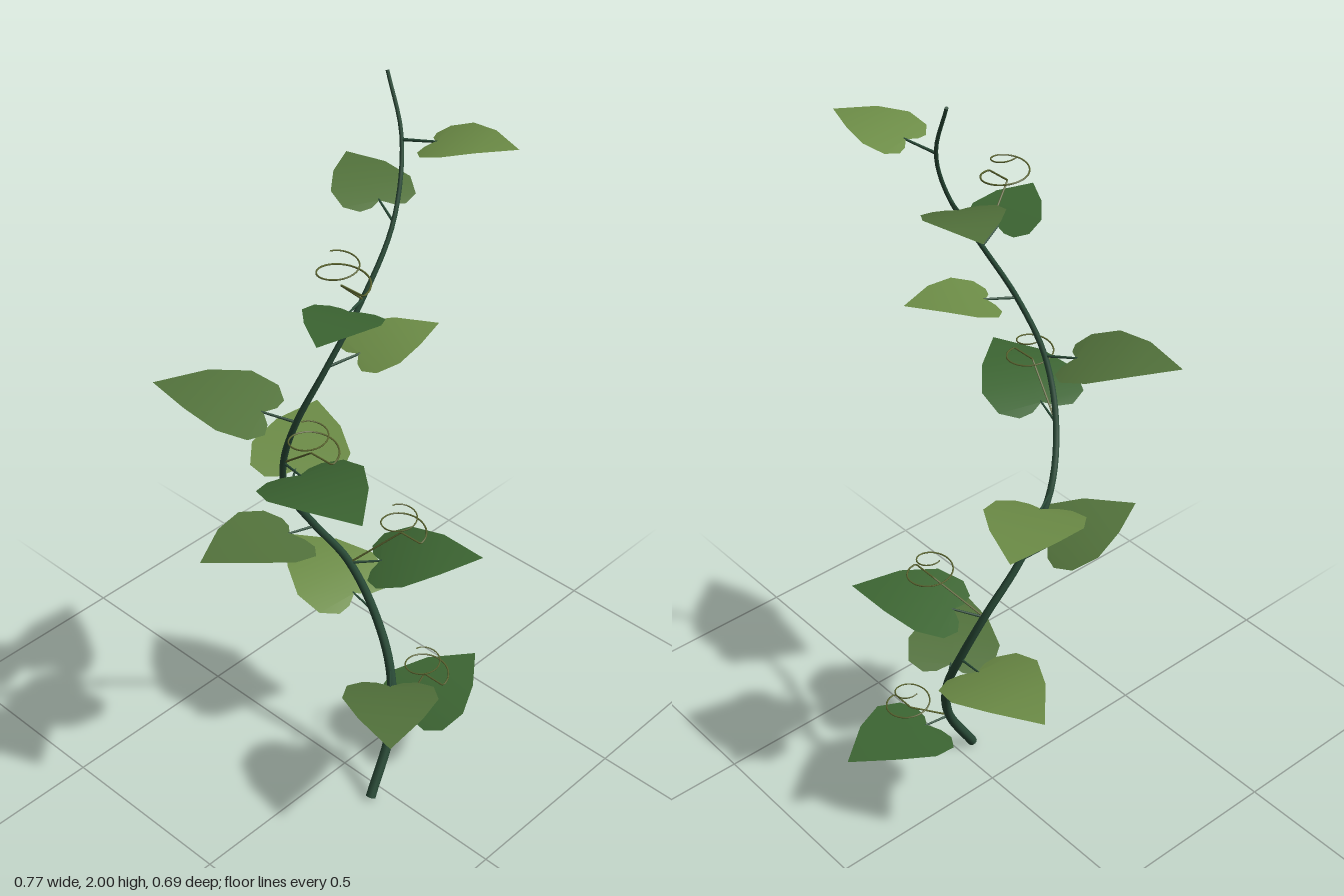
import * as THREE from 'three';

const mat = (color) => new THREE.MeshStandardMaterial({ color, side: THREE.DoubleSide });
const V = (x, y, z) => new THREE.Vector3(x, y, z);

const stemMat = mat(0x2a4c38);
const tendrilMat = mat(0x5c6630);
const leafMats = [mat(0x3c6532), mat(0x53733c), mat(0x6d8d47)];

// Spiralling centre line of the stem
const stemCurve = new THREE.CatmullRomCurve3([
  V(-0.047, 0.005, 0.14), V(0.05, 0.18, 0.12), V(0.092, 0.34, 0.074), V(0.098, 0.49, 0.008),
  V(0.06, 0.645, -0.046), V(-0.03, 0.795, -0.075), V(-0.125, 0.95, -0.07), V(-0.188, 1.1, -0.017),
  V(-0.205, 1.25, 0.045), V(-0.165, 1.4, 0.1), V(-0.083, 1.56, 0.134), V(0.01, 1.715, 0.136),
  V(0.082, 1.87, 0.09), V(0.1, 2.0, 0.03),
]);

// Tube whose radius shrinks evenly from r0 to r1
function taperedTube(curve, segments, r0, r1, sides) {
  const geo = new THREE.TubeGeometry(curve, segments, 1, sides);
  const pos = geo.attributes.position;
  const p = V(0, 0, 0);
  for (let i = 0; i < pos.count; i++) {
    const t = Math.floor(i / (sides + 1)) / segments;
    const c = curve.getPointAt(t);
    p.fromBufferAttribute(pos, i).sub(c).multiplyScalar(r0 + (r1 - r0) * t).add(c);
    pos.setXYZ(i, p.x, p.y, p.z);
  }
  return geo;
}

// Point on the stem at a given height
function stemAt(y) {
  let lo = 0, hi = 1;
  for (let i = 0; i < 30; i++) {
    const mid = (lo + hi) / 2;
    if (stemCurve.getPoint(mid).y < y) lo = mid; else hi = mid;
  }
  return stemCurve.getPoint(lo);
}

// Half outline of the heart-shaped blade: [along, across] for length 1
const outline = [[0, 0], [-0.08, 0.13], [-0.1, 0.27], [0, 0.43], [0.26, 0.472], [0.6, 0.31], [1, 0]];
const PETIOLE = 0.078;
const STALK_RISE = 0.013;

// Blade arches up from drooping lobes and levels off towards its tip
function bladeGeometry(length) {
  const verts = [], index = [];
  const put = (u, w) => verts.push(
    PETIOLE + u * length, STALK_RISE + 0.135 * length * (1 - (1 - u / 0.75) ** 2), w * length);
  for (const [u, w] of outline) {
    put(u, -w);
    put(Math.max(0, u), 0);
    put(u, w);
  }
  for (let i = 0; i < outline.length - 1; i++) {
    for (const s of [0, 1]) {
      const a = i * 3 + s, b = a + 1, c = a + 3, d = a + 4;
      index.push(a, b, c, b, d, c);
    }
  }
  const geo = new THREE.BufferGeometry();
  geo.setAttribute('position', new THREE.Float32BufferAttribute(verts, 3));
  geo.setIndex(index);
  geo.computeVertexNormals();
  return geo;
}

// Leaf on its stalk, pointing along local +x
function makeLeaf(reach, material) {
  const leaf = new THREE.Group();
  leaf.name = 'leaf';
  const path = new THREE.LineCurve3(V(0, 0, 0), V(PETIOLE + 0.005, STALK_RISE, 0));
  const stalk = new THREE.Mesh(taperedTube(path, 4, 0.0036, 0.0026, 6), stemMat);
  stalk.name = 'leafStalk';
  const blade = new THREE.Mesh(bladeGeometry(reach - PETIOLE), material);
  blade.name = 'leafBlade';
  leaf.add(stalk, blade);
  return leaf;
}

// Tendril: a straight arm, a short jog, then a narrowing coil
function makeTendril(angle) {
  const centre = V(Math.cos(angle) * 0.13, 0.108, Math.sin(angle) * 0.13);
  const path = new THREE.CurvePath();
  const coil = [];
  for (let i = 0; i <= 28; i++) {
    const t = i / 28, a = t * Math.PI * 3, r = 0.066 - 0.036 * t;
    coil.push(V(Math.sin(a) * r, t * 0.07, Math.cos(a) * r).add(centre));
  }
  path.add(new THREE.LineCurve3(V(0, 0, 0), centre));
  path.add(new THREE.LineCurve3(centre, coil[0]));
  path.add(new THREE.CatmullRomCurve3(coil));
  const mesh = new THREE.Mesh(taperedTube(path, 90, 0.0026, 0.0018, 5), tendrilMat);
  mesh.name = 'tendril';
  return mesh;
}

export function createModel() {
  const vine = new THREE.Group();
  vine.name = 'vine';

  // Stem with end caps
  const stem = new THREE.Mesh(taperedTube(stemCurve, 80, 0.0135, 0.004, 8), stemMat);
  stem.name = 'stem';
  vine.add(stem);
  for (const [t, r, dir] of [[0, 0.0135, -1], [1, 0.004, 1]]) {
    const cap = new THREE.Mesh(new THREE.CircleGeometry(r, 8), stemMat);
    cap.name = 'stemEnd';
    cap.position.copy(stemCurve.getPoint(t));
    cap.quaternion.setFromUnitVectors(V(0, 0, 1), stemCurve.getTangent(t).multiplyScalar(dir));
    vine.add(cap);
  }

  // Leaves climb the stem by the golden angle, with a tendril at every third
  const reaches = [0.34, 0.338, 0.356, 0.338, 0.338, 0.34, 0.348, 0.342, 0.28, 0.268, 0.277, 0.268];
  reaches.forEach((reach, i) => {
    const node = new THREE.Group();
    node.name = 'leafNode';
    const angle = THREE.MathUtils.degToRad(137.5 * i);
    node.position.copy(stemAt(0.175 + 0.1537 * i));
    const leaf = makeLeaf(reach, leafMats[i % 3]);
    leaf.rotation.y = -angle;
    node.add(leaf);
    if (i % 3 === 0) node.add(makeTendril(angle));
    vine.add(node);
  });

  return vine;
}
